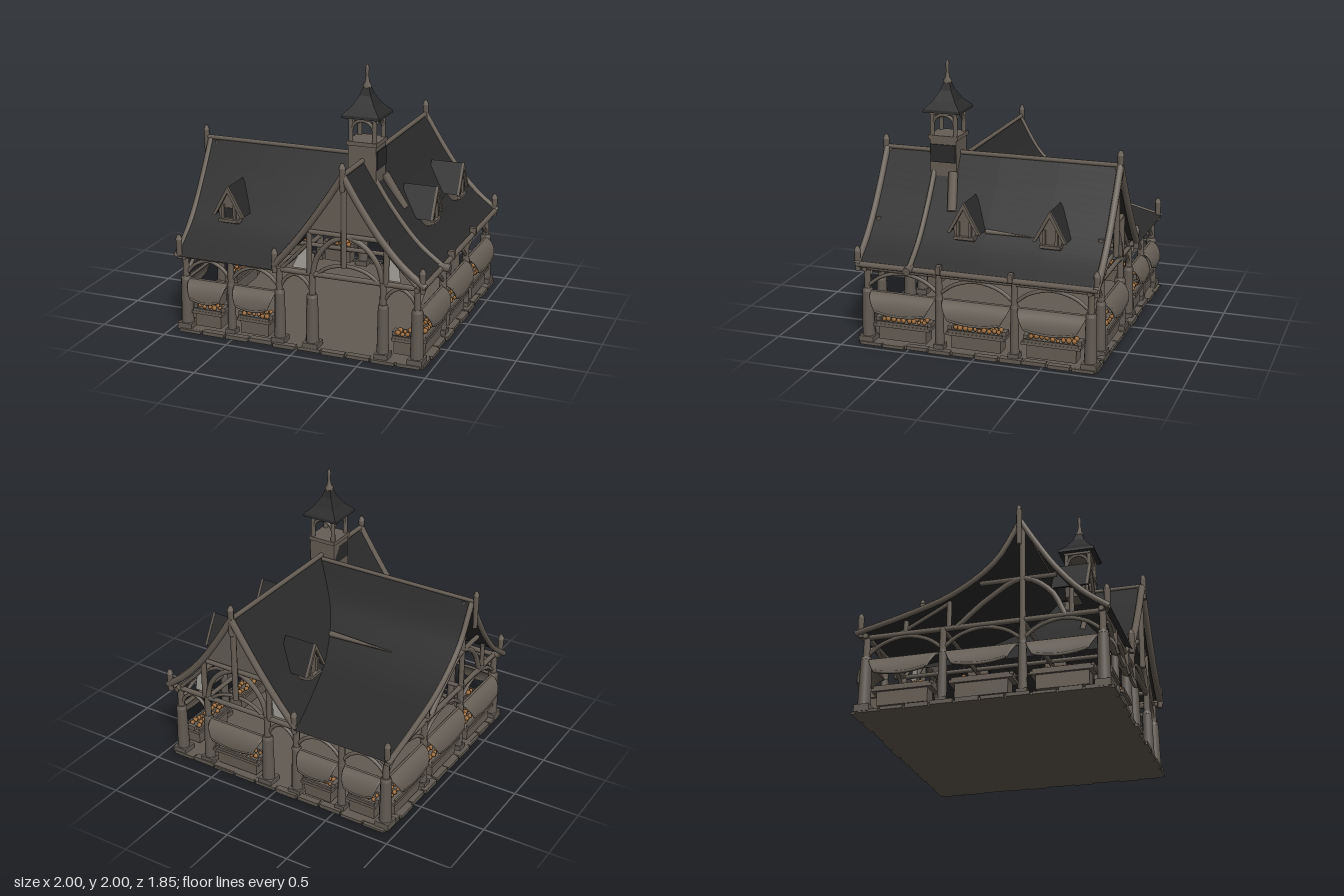
import * as THREE from 'three';
import { ParametricGeometry } from 'three/addons/geometries/ParametricGeometry.js';

export function createModel() {
  const root = new THREE.Group();
  root.name = 'marketHall';
  const mat = (name, color, side = THREE.FrontSide) => {
    const m = new THREE.MeshStandardMaterial({ color, side });
    m.name = name;
    return m;
  };
  const wood = mat('timber', 0x665e55), stone = mat('stone', 0x625b53);
  const roofMat = mat('slate', 0x2a2a2b, THREE.DoubleSide);
  const cloth = mat('cloth', 0x665f56, THREE.DoubleSide);
  const plaster = mat('plaster', 0xa8a59f, THREE.DoubleSide), goods = mat('goods', 0x98693a);
  let seed = 7;
  const rnd = () => (seed = (seed * 16807) % 2147483647) / 2147483647;
  const V = (x, y, z) => new THREE.Vector3(x, y, z);

  const add = (parent, name, geo, m, x = 0, y = 0, z = 0) => {
    const mesh = new THREE.Mesh(geo, m);
    mesh.name = name;
    mesh.position.set(x, y, z);
    parent.add(mesh);
    return mesh;
  };
  const box = (p, name, w, h, d, x, y, z, m = wood) => add(p, name, new THREE.BoxGeometry(w, h, d), m, x, y, z);
  const cyl = (p, name, r1, r0, y0, y1, x, z, m = wood, n = 8) =>
    add(p, name, new THREE.CylinderGeometry(r1, r0, y1 - y0, n), m, x, (y0 + y1) / 2, z);
  const beam = (p, name, a, b, r = 0.018, rEnd = r) => {
    const d = b.clone().sub(a);
    const mesh = add(p, name, new THREE.CylinderGeometry(rEnd, r, d.length(), 7), wood);
    mesh.position.copy(a).addScaledVector(d, 0.5);
    mesh.quaternion.setFromUnitVectors(V(0, 1, 0), d.normalize());
    return mesh;
  };
  const tube = (p, name, pts, r = 0.016, m = wood) =>
    add(p, name, new THREE.TubeGeometry(new THREE.CatmullRomCurve3(pts), 16, r, 7), m);
  const spline = pts => new THREE.SplineCurve(pts.map(q => new THREE.Vector2(...q)));

  // Floor slab with uneven edge stones
  box(root, 'floor', 1.86, 0.022, 1.76, 0, 0.011, 0, stone);
  for (let i = 0; i < 10; i++) for (const s of [-1, 1]) {
    const t = (i - 4.5) / 5, h = 0.018 + rnd() * 0.016;
    box(root, 'edgeStone', 0.17, h, 0.05, t * 0.93, h / 2, s * (0.86 + rnd() * 0.025), stone);
    box(root, 'edgeStone', 0.05, h, 0.16, s * (0.91 + rnd() * 0.02), h / 2, t * 0.88, stone);
  }

  // Roof profiles: x,y for the main roof, z,y for the wing
  const mainL = spline([[0.35, 1.33], [0.18, 1.07], [0.0, 0.82], [-0.17, 0.62]]);
  const mainR = spline([[0.35, 1.33], [0.54, 1.03], [0.74, 0.78], [0.95, 0.61]]);
  const wingF = spline([[0.28, 1.31], [0.44, 1.05], [0.64, 0.78], [0.89, 0.58]]);
  const wingB = spline([[0.28, 1.31], [0.1, 1.02], [-0.2, 0.81], [-0.55, 0.69], [-0.9, 0.6]]);
  // x on the main roof's left slope at a given height: the valley line
  const valleyX = y => {
    let a = 0, b = 1;
    for (let i = 0; i < 24; i++) { const t = (a + b) / 2; if (mainL.getPoint(t).y > y) a = t; else b = t; }
    return mainL.getPoint(a).x;
  };
  for (const c of [mainL, mainR]) {
    add(root, 'mainRoof', new ParametricGeometry((u, v, o) => {
      const q = c.getPoint(u);
      o.set(q.x, q.y, -0.89 + 1.78 * v);
    }, 20, 4), roofMat);
    for (const z of [-0.88, 0.88])
      tube(root, 'bargeboard', [0, 0.25, 0.5, 0.75, 1].map(t => { const q = c.getPoint(t); return V(q.x, q.y - 0.005, z); }), 0.026);
  }
  for (const c of [wingF, wingB]) {
    add(root, 'wingRoof', new ParametricGeometry((u, v, o) => {
      const q = c.getPoint(u);
      o.set(-0.95 + (valleyX(q.y) + 0.95) * v, q.y, q.x);
    }, 28, 8), roofMat);
    tube(root, 'bargeboard', [0, 0.25, 0.5, 0.75, 1].map(t => { const q = c.getPoint(t); return V(-0.94, q.y - 0.012, q.x); }), 0.021);
  }
  // Ridges, eave boards and roof ribs
  beam(root, 'mainRidge', V(0.35, 1.33, -0.9), V(0.35, 1.33, 0.9), 0.018);
  beam(root, 'wingRidge', V(-0.97, 1.312, 0.28), V(0.33, 1.312, 0.28), 0.016);
  beam(root, 'eaveBoard', V(0.935, 0.605, -0.89), V(0.935, 0.605, 0.89), 0.022);
  for (const z of [-0.27, 0.26]) box(root, 'eaveKnob', 0.05, 0.06, 0.035, 0.94, 0.63, z);
  for (const [c, ts] of [[mainR, [0.05, 0.35, 0.7, 1]], [mainL, [0.05, 0.3, 0.6]]])
    tube(root, 'roofRib', ts.map(t => { const q = c.getPoint(t); return V(q.x, q.y + 0.005, 0.48); }), 0.02);
  beam(root, 'ribEnd', V(0.9, 0.62, 0.48), V(1.0, 0.61, 0.48), 0.03);
  beam(root, 'roofPlank', V(0.04, 0.915, -0.07), V(-0.47, 0.905, -0.05), 0.024, 0.005);
  beam(root, 'roofPlank', V(0.68, 0.86, 0.0), V(0.685, 0.85, -0.35), 0.018, 0.004);
  beam(root, 'roofPlank', V(0.45, 1.2, 0.33), V(0.59, 0.95, 0.29), 0.035);

  // Finials on ridge ends and eave corners
  const finial = (x, y0, y1, z, r = 0.024) => {
    cyl(root, 'finial', r, r * 0.8, y0, y1 - 0.03, x, z);
    cyl(root, 'finialCap', r * 0.45, r * 1.1, y1 - 0.035, y1, x, z);
  };
  finial(0.35, 1.22, 1.42, 0.89);
  finial(0.35, 1.2, 1.44, -0.88);
  finial(-0.975, 1.1, 1.4, 0.28, 0.021);
  for (const [x, z] of [[-0.165, 0.88], [0.93, 0.88], [0.93, -0.88], [-0.92, 0.87], [-0.92, -0.87], [-0.165, -0.88]])
    finial(x, 0.56, 0.74, z);

  // Walls: posts, braced bays, awnings and stalls
  const awning = (p, x, w, z) => {
    const at = (u, v, o, inset) => {
      const t = u * 2 - 1, narrow = 1 - 0.24 * v * v, a = v * 1.5;
      return o.set(x + t * w / 2 * narrow, 0.4 - inset - 0.14 * (1 - Math.cos(a)) * (1 - 0.18 * t * t) - 0.012 * v, z - inset + 0.085 * Math.sin(a));
    };
    for (const inset of [0, 0.014])
      add(p, 'awning', new ParametricGeometry((u, v, o) => at(u, v, o, inset), 12, 10), cloth);
    tube(p, 'awningHem', [0, 0.25, 0.5, 0.75, 1].map(u => at(u, 1, V(0, 0, 0), 0.006)), 0.01, cloth);
    for (const u of [0, 1]) tube(p, 'awningHem', [0, 0.33, 0.67, 1].map(v => at(u, v, V(0, 0, 0), 0.007)), 0.01, cloth);
  };
  const stall = (p, x, w, z) => {
    const g = new THREE.Group();
    g.name = 'stall';
    p.add(g);
    box(g, 'counter', w, 0.022, 0.15, x, 0.158, z);
    box(g, 'crate', w * 0.84, 0.1, 0.11, x, 0.097, z);
    for (const dz of [-0.065, 0.065]) box(g, 'trayRim', w * 0.92, 0.022, 0.014, x, 0.176, z + dz);
    const n = Math.max(3, Math.round(w / 0.046));
    for (let i = 0; i < n; i++) for (const dz of [-0.03, 0.025]) {
      const r = 0.013 + rnd() * 0.008;
      add(g, 'produce', new THREE.SphereGeometry(r, 8, 6), goods,
        x + ((i + 0.5) / n - 0.5) * w * 0.82, 0.17 + r + rnd() * 0.01, z + dz + (rnd() - 0.5) * 0.02);
    }
    for (const s of [-1, 1]) box(g, 'smallCrate', 0.03, 0.035, 0.07, x + s * w * 0.46, 0.185, z);
  };
  const post = (p, x, z, r) => {
    box(p, 'plinth', r * 2.5, 0.05, r * 2.5, x, 0.035, z, stone);
    cyl(p, 'pedestal', r * 0.9, r * 1.08, 0.05, 0.4, x, z, stone, 10);
    cyl(p, 'pedestalCap', r * 0.75, r * 0.95, 0.395, 0.42, x, z, stone, 10);
    cyl(p, 'post', 0.024, 0.026, 0.4, 0.58, x, z);
  };
  const wall = (name, rot, dist, half, posts, bays, stalls) => {
    const g = new THREE.Group();
    g.name = name;
    g.rotation.y = rot;
    root.add(g);
    for (const [x, r] of posts) post(g, x, dist, r);
    beam(g, 'wallPlate', V(-half, 0.57, dist), V(half, 0.57, dist), 0.02);
    for (const [a, b] of bays) {
      const m = (a + b) / 2, w = b - a;
      tube(g, 'archBrace', [V(a, 0.43, dist), V(a + w * 0.2, 0.51, dist), V(m, 0.55, dist), V(b - w * 0.2, 0.51, dist), V(b, 0.43, dist)], 0.014);
    }
    for (const [a, b] of stalls) {
      const m = (a + b) / 2, w = b - a;
      beam(g, 'awningRail', V(a, 0.395, dist), V(b, 0.395, dist), 0.011);
      awning(g, m, w - 0.07, dist + 0.005);
      stall(g, m, w - 0.12, dist - 0.03);
    }
  };
  const endPosts = s => [[-0.89, 0.044], [-0.53, 0.03], [-0.15, 0.04], [0.1, 0.045], [0.63, 0.04], [0.88, 0.044]].map(([x, r]) => [s * x, r]);
  const b1 = [-0.89, -0.53], b2 = [-0.53, -0.15], flip = ([a, b]) => [-b, -a];
  wall('frontWall', 0, 0.83, 0.93, endPosts(1), [b1, b2, [-0.15, 0.1], [0.63, 0.88]], [b1, b2]);
  wall('backWall', Math.PI, 0.83, 0.93, endPosts(-1), [b1, b2, [-0.15, 0.1], [0.63, 0.88]].map(flip), [b1, b2, [0.1, 0.63]].map(flip));
  const sideBays = [[-0.83, -0.28], [-0.28, 0.28], [0.28, 0.83]];
  for (const s of [1, -1])
    wall(s > 0 ? 'leftWall' : 'rightWall', s * Math.PI / 2, 0.885, 0.87, [[-0.28, 0.031], [0.28, 0.031]], sideBays, sideBays);
  stall(root, 0.77, 0.17, 0.74);
  // Tie beams under the roof
  for (const z of [-0.28, 0.28]) beam(root, 'tieBeam', V(-0.89, 0.57, z), V(0.89, 0.57, z), 0.017);
  for (const x of [-0.15, 0.63]) beam(root, 'tieBeam', V(x, 0.57, -0.83), V(x, 0.57, 0.83), 0.017);

  // Gable timbers on the main roof
  for (const s of [1, -1]) {
    const z = s * 0.83;
    for (const [x0, d] of [[0.1, 1], [0.63, -1]]) {
      tube(root, 'pointedArch', [V(x0, 0.55, z), V(x0 + d * 0.04, 0.7, z), V(x0 + d * 0.14, 0.82, z), V(0.365, 0.88, z)], 0.02);
      cyl(root, 'gablePost', 0.022, 0.022, 0.57, 0.88, x0 - d * 0.02, z);
    }
    tube(root, 'lowArch', [V(0.1, 0.54, z), V(0.22, 0.63, z), V(0.365, 0.66, z), V(0.51, 0.63, z), V(0.63, 0.54, z)], 0.014);
    cyl(root, 'kingPost', 0.022, 0.022, 0.66, 1.32, 0.35, z + s * 0.03);
    beam(root, 'collar', V(0.08, 0.88, z), V(0.62, 0.88, z), 0.018);
    beam(root, 'strut', V(-0.14, 0.57, z), V(0.08, 0.8, z), 0.014);
    beam(root, 'strut', V(0.88, 0.57, z), V(0.66, 0.8, z), 0.014);
    const panel = (name, pts, m) => add(root, name, new THREE.ShapeGeometry(new THREE.Shape(pts.map(q => new THREE.Vector2(...q)))), m, 0, 0, z - s * 0.02);
    panel('upperGable', [[0.06, 0.87], [0.64, 0.87], [0.5, 1.08], [0.35, 1.31], [0.2, 1.08]], cloth);
    panel('plasterPanel', [[-0.06, 0.59], [0.06, 0.59], [0.07, 0.76], [0.03, 0.78]], plaster);
    panel('plasterPanel', [[0.66, 0.59], [0.75, 0.59], [0.73, 0.74], [0.65, 0.84]], plaster);
  }
  // Gable timbers on the wing
  const gx = -0.885;
  tube(root, 'wingArch', [V(gx, 0.56, 0.58), V(gx, 0.76, 0.48), V(gx, 0.88, 0.28), V(gx, 0.76, 0.04), V(gx, 0.56, -0.2)], 0.02);
  beam(root, 'wingKingPost', V(gx, 0.57, 0.28), V(gx, 1.29, 0.28), 0.022);
  beam(root, 'wingCollar', V(gx, 0.88, 0.52), V(gx, 0.88, -0.02), 0.018);
  for (const [z, y] of [[0.62, 0.76], [-0.24, 0.77], [-0.55, 0.66]]) beam(root, 'wingStud', V(gx, 0.57, z), V(gx, y, z), 0.018);
  beam(root, 'wingStrut', V(gx, 0.57, -0.6), V(gx, 0.76, -0.24), 0.014);

  // Dormers
  const chevron = (w, h, t) => new THREE.Shape([[0, h], [-w, 0], [-w + t, 0], [0, h - t * 2], [w - t, 0], [w, 0]].map(q => new THREE.Vector2(...q)));
  const dormer = (x, z, rot, open) => {
    const g = new THREE.Group();
    g.name = 'dormer';
    g.position.set(x, 0.8, z);
    g.rotation.y = rot;
    root.add(g);
    add(g, 'dormerRoof', new THREE.ExtrudeGeometry(chevron(0.12, 0.22, 0.016), { depth: 0.25, bevelEnabled: false }), roofMat, 0, 0.06, -0.25);
    add(g, 'dormerTrim', new THREE.ExtrudeGeometry(chevron(0.122, 0.225, 0.024), { depth: 0.018, bevelEnabled: false }), wood, 0, 0.06, -0.006);
    const face = new THREE.Shape([[-0.07, 0], [0.07, 0], [0.085, 0.09], [0, 0.25], [-0.085, 0.09]].map(q => new THREE.Vector2(...q)));
    add(g, 'dormerBody', new THREE.ExtrudeGeometry(face, { depth: 0.14, bevelEnabled: false }), wood, 0, 0, -0.16);
    if (open) box(g, 'dormerWindow', 0.075, 0.075, 0.006, 0, 0.08, -0.018, roofMat);
    box(g, 'dormerSill', 0.15, 0.022, 0.04, 0, 0.025, -0.01);
    for (const s of [-1, 1]) box(g, 'dormerJamb', 0.02, 0.11, 0.02, s * 0.045, 0.085, -0.012);
  };
  dormer(0.78, 0.13, Math.PI / 2, false);
  dormer(0.78, -0.5, Math.PI / 2, false);
  dormer(-0.1, -0.5, -Math.PI / 2, false);
  dormer(-0.61, 0.69, 0, true);

  // Bell turret
  const turret = new THREE.Group();
  turret.name = 'turret';
  turret.position.set(0.345, 0, 0.405);
  root.add(turret);
  box(turret, 'turretBase', 0.21, 0.3, 0.2, 0, 1.29, 0);
  box(turret, 'turretSkirt', 0.22, 0.13, 0.19, 0.005, 1.335, 0, roofMat);
  box(turret, 'turretCollar', 0.225, 0.03, 0.225, 0, 1.45, 0);
  box(turret, 'turretPlate', 0.21, 0.025, 0.21, 0, 1.63, 0);
  for (let i = 0; i < 4; i++) {
    const q = new THREE.Group();
    q.name = 'turretSide';
    q.rotation.y = i * Math.PI / 2;
    turret.add(q);
    cyl(q, 'turretPost', 0.016, 0.018, 1.45, 1.63, 0.088, 0.088);
    tube(q, 'turretArch', [V(-0.085, 1.54, 0.088), V(-0.06, 1.59, 0.088), V(0, 1.615, 0.088), V(0.06, 1.59, 0.088), V(0.085, 1.54, 0.088)], 0.012);
  }
  const spire = new THREE.LatheGeometry([[0, 1.635], [0.2, 1.635], [0.195, 1.655], [0.12, 1.71], [0.06, 1.78], [0.025, 1.85]].map(q => new THREE.Vector2(...q)), 4).toNonIndexed();
  spire.computeVertexNormals();
  add(turret, 'turretRoof', spire, roofMat).rotation.y = Math.PI / 4;
  add(turret, 'turretFinial', new THREE.LatheGeometry([[0.028, 1.83], [0.034, 1.85], [0.018, 1.87], [0.011, 1.92], [0.015, 1.97], [0.009, 1.99], [0, 2]].map(q => new THREE.Vector2(...q)), 8), wood);
  return root;
}
